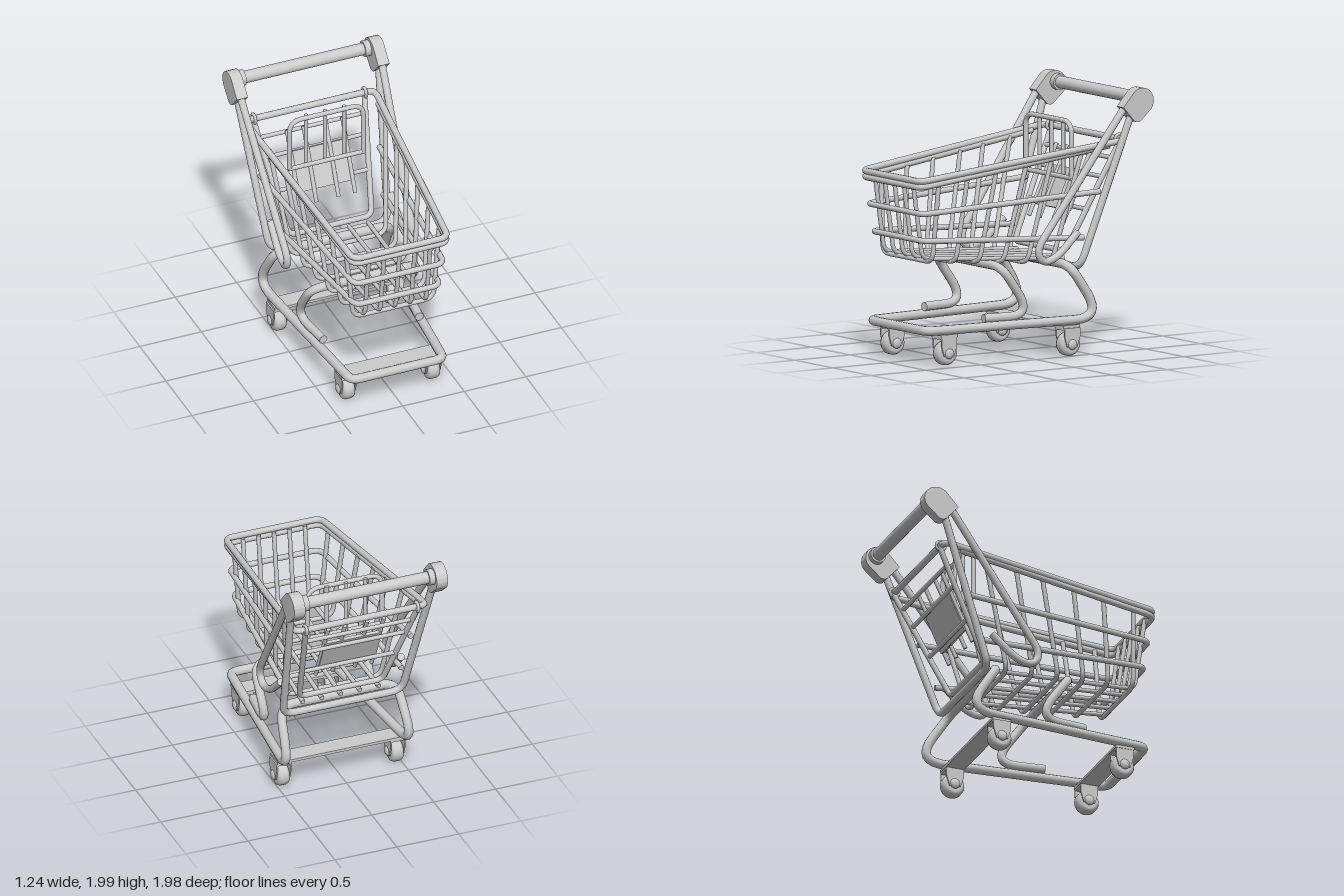
import * as THREE from 'three';
import { mergeGeometries } from 'three/addons/utils/BufferGeometryUtils.js';

const grey = new THREE.MeshStandardMaterial({ color: 0xcccccc });
const V = (x, y, z) => new THREE.Vector3(x, y, z);
const lerp = THREE.MathUtils.lerp;

// Curve that passes exactly through each listed point
class PointCurve extends THREE.Curve {
  constructor(points) { super(); this.points = points; }
  getPointAt(u) { return this.points[Math.round(u * (this.points.length - 1))].clone(); }
  getTangentAt(u) {
    const p = this.points, n = p.length - 1, i = Math.round(u * n);
    const unit = (a, b) => p[b].clone().sub(p[a]).normalize();
    if (i === 0) return unit(0, 1);
    if (i === n) return unit(n - 1, n);
    return unit(i - 1, i).add(unit(i, i + 1)).normalize();
  }
}

// Polyline with its corners rounded
function roundCorners(p, r) {
  const out = [p[0]];
  for (let i = 1; i < p.length - 1; i++) {
    const a = p[i - 1].clone().sub(p[i]), b = p[i + 1].clone().sub(p[i]);
    const cut = Array.isArray(r) ? r[i - 1] : r;
    const s = p[i].clone().addScaledVector(a, Math.min(cut / a.length(), 0.49));
    const e = p[i].clone().addScaledVector(b, Math.min(cut / b.length(), 0.49));
    out.push(...new THREE.QuadraticBezierCurve3(s, p[i], e).getPoints(8));
  }
  out.push(p[p.length - 1]);
  return out;
}

// Bent tube with closed ends
function tubeGeometry(points, radius, corner = 0.1) {
  const pts = points.length > 2 ? roundCorners(points, corner) : points;
  const curve = new PointCurve(pts);
  const parts = [new THREE.TubeGeometry(curve, pts.length - 1, radius, 10)];
  for (const end of [0, 1]) {
    const dir = curve.getTangentAt(end).multiplyScalar(end ? 1 : -1);
    const cap = new THREE.CircleGeometry(radius, 10);
    cap.applyQuaternion(new THREE.Quaternion().setFromUnitVectors(V(0, 0, 1), dir));
    const c = curve.getPointAt(end);
    parts.push(cap.translate(c.x, c.y, c.z));
  }
  return mergeGeometries(parts);
}

// Right half of a symmetric path, continued on the other side
const mirrored = (half) => [...half, ...half.map((p) => V(-p.x, p.y, p.z)).reverse()];

export function createModel() {
  const model = new THREE.Group();
  const add = (name, geometry, parent = model) => {
    const mesh = new THREE.Mesh(geometry, grey);
    mesh.name = name;
    parent.add(mesh);
    return mesh;
  };
  const group = (name) => {
    const g = new THREE.Group();
    g.name = name;
    model.add(g);
    return g;
  };
  const tube = (name, points, radius, corner, parent) =>
    add(name, tubeGeometry(points, radius, corner), parent);

  // Chassis: closed outer loop and inner support loop
  const side = [V(0.375, 0.27, 0.9), V(0.505, 0.27, -0.6), V(0.47, 0.685, -0.33)];
  tube('chassisLoop', [V(0, 0.27, 0.9), ...mirrored(side), V(0, 0.27, 0.9)], 0.036,
    [0.07, 0.24, 0.12, 0.12, 0.24, 0.07]);
  tube('basketSupport', mirrored([V(0.39, 0.33, 0.4), V(0.44, 0.33, -0.01), V(0.44, 0.715, 0.27)]), 0.034,
    [0.23, 0.12, 0.12, 0.23]);

  // Axle plates and casters
  const wheelProfile = [[0.02, -0.046], [0.06, -0.05], [0.08, -0.042], [0.09, -0.022], [0.09, 0.022],
    [0.08, 0.042], [0.06, 0.05], [0.02, 0.046]].map(([x, y]) => new THREE.Vector2(x, y));
  const forkShape = new THREE.Shape([[-0.07, 0.215], [-0.07, 0.15], [-0.045, 0.07], [0.045, 0.07], [0.07, 0.15], [0.07, 0.215]]
    .map(([x, y]) => new THREE.Vector2(x, y)));
  for (const [end, z, x, halfWidth] of [['front', 0.72, 0.345, 0.41], ['rear', -0.32, 0.46, 0.51]]) {
    add(end + 'AxlePlate', new THREE.BoxGeometry(halfWidth * 2, 0.022, 0.15).translate(0, 0.225, z));
    for (const s of [-1, 1]) {
      const caster = group(end + 'Caster');
      caster.position.set(s * x, 0, z);
      add('wheel', new THREE.LatheGeometry(wheelProfile, 24).rotateZ(Math.PI / 2).translate(0, 0.09, 0), caster);
      add('forkTop', new THREE.BoxGeometry(0.122, 0.016, 0.14).translate(0, 0.207, 0), caster);
      for (const t of [-1, 1]) {
        add('forkSide', new THREE.ExtrudeGeometry(forkShape, { depth: 0.01, bevelEnabled: false })
          .translate(0, 0, -0.005).rotateY(-Math.PI / 2).translate(t * 0.056, 0, 0), caster);
        add('axleCap', new THREE.SphereGeometry(0.04, 12, 8).scale(0.5, 1, 1).translate(t * 0.058, 0.09, 0), caster);
      }
    }
  }

  // Rear frame running up to the handle, and looped side legs
  tube('rearFrame', mirrored([V(0.575, 1.8, -0.815), V(0.48, 0.66, -0.415)]), 0.029, 0.1);
  for (const s of [-1, 1]) {
    tube('sideLeg', [V(0.575, 1.86, -0.76), V(0.505, 0.83, -0.005), V(0.5, 0.72, -0.06), V(0.495, 0.755, -0.2),
      V(0.485, 0.93, -0.39)].map((p) => V(s * p.x, p.y, p.z)), 0.029, 0.1);
  }

  // Handle with collars and end caps
  const rod = (r, x0, x1) => new THREE.CylinderGeometry(r, r, x1 - x0, 20).rotateZ(Math.PI / 2)
    .translate((x0 + x1) / 2, 1.91, -0.905);
  add('handleBar', rod(0.047, -0.54, 0.54));
  const capShape = new THREE.Shape();
  capShape.moveTo(-0.715, 1.86);
  capShape.lineTo(-0.82, 1.975);
  capShape.bezierCurveTo(-0.88, 2.02, -0.99, 1.99, -0.99, 1.89);
  capShape.quadraticCurveTo(-0.985, 1.84, -0.95, 1.815);
  capShape.lineTo(-0.87, 1.745);
  capShape.quadraticCurveTo(-0.835, 1.73, -0.81, 1.755);
  capShape.closePath();
  for (const s of [-1, 1]) {
    add('handleCollar', s > 0 ? rod(0.062, 0.485, 0.54) : rod(0.062, -0.54, -0.485));
    add('handleCap', new THREE.ExtrudeGeometry(capShape, { depth: 0.09, bevelEnabled: false, curveSegments: 8 })
      .translate(0, 0, -0.045).rotateY(-Math.PI / 2).translate(s * 0.575, 0, 0));
  }

  // Basket rails: closed top rim and three open hoops
  const basket = group('basket');
  tube('topRim', [V(0, 1.405, 0.965), ...mirrored([V(0.385, 1.405, 0.965), V(0.53, 1.6, -0.79)]), V(0, 1.405, 0.965)],
    0.025, 0.07, basket);
  const rails = [
    ['lowerRim', 0.385, 1.36, 0.965, 0.505, 1.565, -0.66, 0.024],
    ['middleRail', 0.365, 1.155, 0.935, 0.485, 1.222, -0.59, 0.022],
    ['lowerRail', 0.345, 0.948, 0.91, 0.46, 0.88, -0.46, 0.022],
  ];
  for (const [name, xf, yf, zf, xb, yb, zb, r] of rails)
    tube(name, mirrored([V(xb, yb, zb), V(xf, yf, zf)]).map((p) => p), r, 0.07, basket);

  // Cross ribs: down one side, under the floor and up the other
  const ribs = [[0.8, 0.82], [0.55, 0.615], [0.3, 0.41], [0.04, 0.2], [-0.18, -0.01], [-0.44, -0.225]];
  for (const [top, low] of ribs) {
    tube('rib', mirrored([V(0.44 - 0.0765 * top, 1.484 - 0.133 * top, top), V(0.37 - 0.055 * low, 0.717 + 0.077 * low, low)]),
      0.018, 0.08, basket);
  }

  // Floor rods that turn up into the front wall
  for (let i = -2; i <= 2; i++) {
    tube('floorRod', [V(i * 0.125, 1.385, 0.945), V(i * 0.125, 0.8, 0.86), V(i * 0.153, 0.715, -0.39)],
      0.017, 0.07, basket);
  }

  // Rear flap: tapered frame, bars, rods and panel
  const flap = group('rearFlap');
  const flapZ = (y) => -0.39 - (y - 0.78) * 0.5;
  const flapX = (y) => lerp(0.335, 0.45, (y - 0.78) / 0.8);
  tube('flapFrame', mirrored([V(0.455, 1.61, -0.81), V(0.335, 0.77, -0.385)]), 0.022, 0.06, flap);
  for (const y of [1.46, 1.32, 1.08])
    tube('flapBar', [V(-flapX(y), y, flapZ(y)), V(flapX(y), y, flapZ(y))], 0.017, 0, flap);
  for (const x of [-0.225, -0.09, 0.09, 0.225])
    tube('flapRod', [V(x, 1.5, -0.69), V(x, 0.97, -0.44)], 0.016, 0, flap);
  for (const s of [-1, 1])
    add('flapHinge', new THREE.TorusGeometry(0.035, 0.013, 8, 14).rotateY(Math.PI / 2).translate(s * 0.45, 1.6, -0.79), flap);
  const panel = add('flapPanel', new THREE.BoxGeometry(0.46, 0.32, 0.025), flap);
  panel.position.set(0, 1.2, -0.56);
  panel.rotation.x = -Math.atan(0.45);

  // Upright seat back
  const seat = group('seatBack');
  tube('seatArch', mirrored([V(0.3, 1.31, -0.462), V(0.3, 1.735, -0.462)]), 0.019, 0.1, seat);
  tube('seatLowerBar', [V(-0.31, 1.31, -0.462), V(0.31, 1.31, -0.462)], 0.018, 0, seat);
  for (const x of [-0.155, 0, 0.155])
    tube('seatRod', [V(x, 1.745, -0.487), V(x, 1.295, -0.487)], 0.016, 0, seat);

  return model;
}
